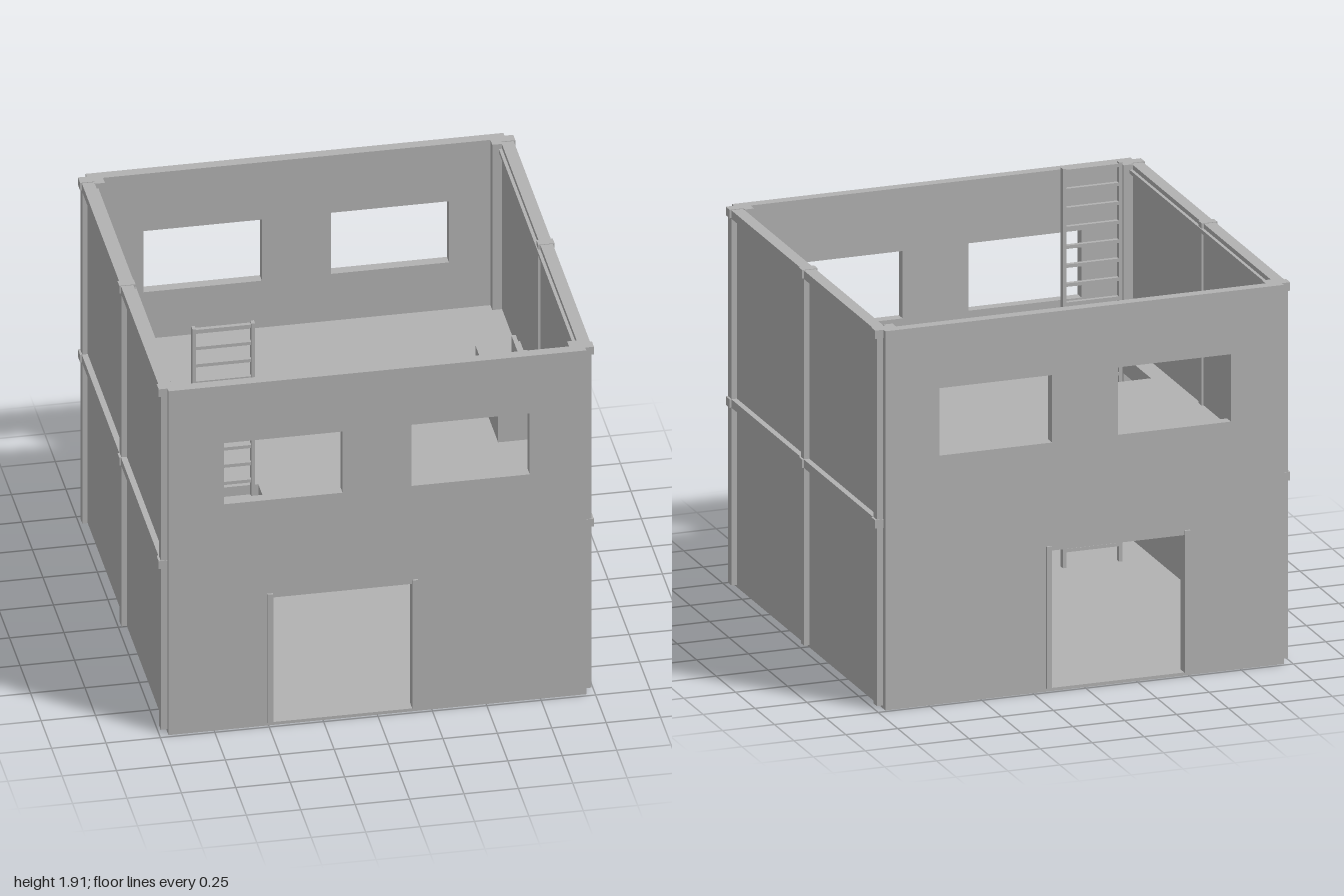
import * as THREE from 'three';

export function createModel() {
  const model = new THREE.Group();
  model.name = 'building';
  const grey = new THREE.MeshStandardMaterial({ color: 0xb2b2b2 });
  grey.name = 'grey';

  // Box given by its minimum and maximum on each axis
  function box(name, x0, x1, y0, y1, z0, z1, parent = model) {
    const mesh = new THREE.Mesh(new THREE.BoxGeometry(x1 - x0, y1 - y0, z1 - z0), grey);
    mesh.position.set((x0 + x1) / 2, (y0 + y1) / 2, (z0 + z1) / 2);
    mesh.name = name;
    parent.add(mesh);
    return mesh;
  }

  function rectangle(x0, x1, y0, y1, Type = THREE.Shape) {
    return new Type([[x0, y0], [x1, y0], [x1, y1], [x0, y1]].map(p => new THREE.Vector2(...p)));
  }

  function extrude(name, shape, depth) {
    const mesh = new THREE.Mesh(new THREE.ExtrudeGeometry(shape, { depth, bevelEnabled: false }), grey);
    mesh.name = name;
    model.add(mesh);
    return mesh;
  }

  const bottom = 0.015, top = 1.8;

  // Ground slab
  box('groundFloor', -0.96, 0.96, 0, bottom, -0.985, 0.985);

  // Upper floor with a ladder hatch
  const floorShape = rectangle(-0.935, 0.935, -0.935, 0.935);
  floorShape.holes.push(rectangle(-0.85, -0.44, -0.84, -0.43, THREE.Path));
  const upperFloor = extrude('upperFloor', floorShape, 0.085);
  upperFloor.rotation.x = -Math.PI / 2;
  upperFloor.position.y = 0.85;

  // Front and back walls with a doorway and two windows
  const wallShape = new THREE.Shape([
    [-0.96, bottom], [-0.48, bottom], [-0.48, 0.667], [0.16, 0.667],
    [0.16, bottom], [0.96, bottom], [0.96, top], [-0.96, top],
  ].map(p => new THREE.Vector2(...p)));
  wallShape.holes.push(rectangle(-0.705, -0.16, 1.18, 1.5, THREE.Path));
  wallShape.holes.push(rectangle(0.157, 0.7, 1.18, 1.5, THREE.Path));
  extrude('frontWall', wallShape, 0.05).position.z = 0.935;
  extrude('backWall', wallShape, 0.05).position.z = -0.985;

  // Door guide rails on the outside of both walls
  for (const s of [1, -1]) {
    const z0 = s > 0 ? 0.985 : -0.995;
    box('doorRail', -0.507, -0.48, bottom, 0.69, z0, z0 + 0.01);
    box('doorRail', 0.16, 0.185, bottom, 0.69, z0, z0 + 0.01);
  }

  // Side walls: recessed panels in a frame of posts and beams
  for (const s of [1, -1]) {
    const wall = new THREE.Group();
    wall.name = s > 0 ? 'leftWall' : 'rightWall';
    model.add(wall);
    const part = (name, x0, x1, y0, y1, z0, z1) =>
      box(name, s > 0 ? x0 : -x1, s > 0 ? x1 : -x0, y0, y1, z0, z1, wall);

    part('sidePanel', 0.935, 0.965, bottom, top - 0.005, -0.93, 0.93);
    part('middlePost', 0.925, 0.99, bottom, top, -0.02, 0.02);
    part('topBeam', 0.935, 0.992, 1.757, 1.797, -0.92, 0.92);
    part('topBeamFlange', 0.92, 0.936, 1.757, 1.775, -0.89, 0.89);
    part('middleBeam', 0.93, 0.992, 0.86, 0.9, -0.92, 0.92);
    for (const y of [0.86, 1.76]) part('middleJoint', 0.925, 1, y, y + 0.04, -0.022, 0.022);

    // Corner posts and their joints
    for (const e of [1, -1]) {
      const corner = (name, x0, x1, y0, y1, z0, z1) =>
        part(name, x0, x1, y0, y1, e > 0 ? z0 : -z1, e > 0 ? z1 : -z0);
      corner('cornerPost', 0.93, 0.99, bottom, top, 0.91, 0.957);
      corner('innerCornerPost', 0.89, 0.935, bottom, top, 0.89, 0.94);
      for (const y of [0.86, 1.76]) corner('cornerJoint', 0.95, 1, y, y + 0.04, 0.91, 0.96);
    }
  }

  // Ladder running through the hatch
  const ladder = new THREE.Group();
  ladder.name = 'ladder';
  model.add(ladder);
  box('ladderStile', -0.785, -0.768, bottom, 1.91, 0.62, 0.65, ladder);
  box('ladderStile', -0.514, -0.497, bottom, 1.91, 0.62, 0.65, ladder);
  for (let i = 0; i < 21; i++) {
    const y = 1.895 - i * 0.09;
    box('ladderRung', -0.77, -0.512, y - 0.008, y + 0.008, 0.625, 0.645, ladder);
  }

  // Cabinet with a raised block and upright plate on the upper floor
  box('cabinet', 0.693, 0.898, 0.935, 1.13, -0.27, 0.27);
  box('cabinetBlock', 0.697, 0.895, 1.13, 1.195, -0.08, 0.235);
  box('uprightPlate', 0.8, 0.82, 1.195, 1.345, 0.03, 0.19);

  return model;
}
